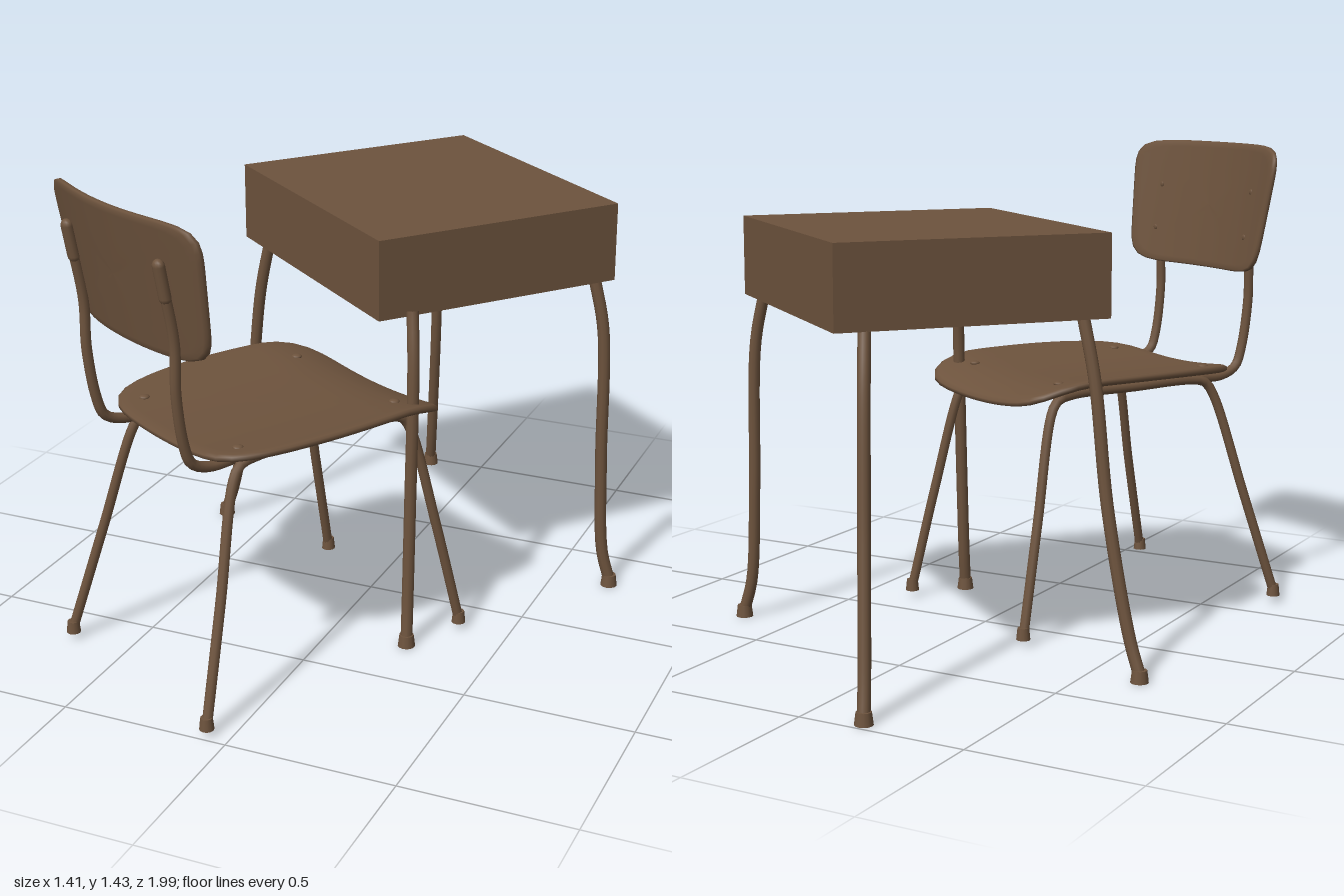
import * as THREE from 'three';

const brown = new THREE.MeshStandardMaterial({ color: 0x6d533d });
brown.name = 'brown';

function add(parent, name, geometry, pos = [0, 0, 0], scale = [1, 1, 1]) {
  const mesh = new THREE.Mesh(geometry, brown);
  mesh.name = name;
  mesh.position.set(...pos);
  mesh.scale.set(...scale);
  parent.add(mesh);
  return mesh;
}

function tube(parent, name, points, radius, segments = 32) {
  const curve = new THREE.CatmullRomCurve3(points.map(p => new THREE.Vector3(...p)));
  return add(parent, name, new THREE.TubeGeometry(curve, segments, radius, 10));
}

// Rubber cap on a leg end, standing on height y
function foot(parent, x, y, z, r) {
  add(parent, 'footCap', new THREE.CylinderGeometry(r * 0.82, r, 0.036, 12), [x, y + 0.018, z]);
}

// Thin moulded board: rounded outline in (u, v), bent by place(u, v, offset)
function board(place, thickness, n = 7, segments = 64) {
  const h = thickness / 2;
  const top = [0, 0.2, 0.4, 0.55, 0.7, 0.8, 0.9, 0.975].map(r => [r, h]);
  const rings = [...top, [1, h * 0.5], [1, -h * 0.5], ...top.map(([r]) => [r, -h]).reverse()];
  const positions = [], index = [];
  rings.forEach(([r, w], i) => {
    for (let j = 0; j < segments; j++) {
      const a = (j / segments) * Math.PI * 2, c = Math.cos(a), s = Math.sin(a);
      const k = r / Math.pow(Math.abs(c) ** n + Math.abs(s) ** n, 1 / n);
      positions.push(...place(c * k, s * k, w));
      if (i === rings.length - 1) continue;
      const j2 = (j + 1) % segments, p = i * segments, q = p + segments;
      index.push(p + j, q + j, q + j2, p + j, q + j2, p + j2);
    }
  });
  const g = new THREE.BufferGeometry();
  g.setAttribute('position', new THREE.Float32BufferAttribute(positions, 3));
  g.setIndex(index);
  g.computeVertexNormals();
  return g;
}

// Seat height: raised sides, front edge rolling down
function seatY(x, z) {
  const roll = Math.max(0, (-z - 0.2) / 0.21);
  return 0.732 + 0.036 * (x / 0.36) ** 2 - 0.045 * roll * roll;
}

// Backrest depth: leaning back and curved around the sitter
function backZ(x, y) {
  return 0.45 + 0.07 * (y - 1.04) / 0.395 - 0.062 * (x / 0.355) ** 2;
}

function createDesk() {
  const desk = new THREE.Group();
  desk.name = 'desk';
  const box = add(desk, 'deskBox', new THREE.BoxGeometry(0.9, 0.235, 0.79), [0.054, 1.1225, -0.29]);
  box.rotation.y = -0.684;

  // Splayed legs, each bent near the top and the bottom
  const legs = [
    [[-0.085, 1.02, -0.795], [-0.112, 0.86, -0.843], [-0.14, 0.45, -0.893], [-0.17, 0.12, -0.945], [-0.182, 0.02, -0.968]],
    [[0.595, 1.02, -0.29], [0.63, 0.85, -0.295], [0.64, 0.42, -0.3], [0.655, 0.12, -0.303], [0.68, 0.02, -0.31]],
    [[0.222, 1.02, 0.22], [0.238, 0.87, 0.25], [0.238, 0.42, 0.268], [0.24, 0.12, 0.287], [0.243, 0.02, 0.3]],
    [[-0.46, 1.02, -0.275], [-0.503, 0.83, -0.28], [-0.55, 0.48, -0.29], [-0.625, 0.12, -0.297], [-0.66, 0.02, -0.303]],
  ];
  for (const points of legs) {
    tube(desk, 'deskLeg', points, 0.018);
    const [x, , z] = points[points.length - 1];
    foot(desk, x, 0, z, 0.026);
  }
  return desk;
}

function createChair() {
  const chair = new THREE.Group();
  chair.name = 'chair';

  add(chair, 'seat', board((u, v, w) => {
    const x = u * 0.362 * (1 - (v > 0 ? 0.09 : 0.17) * v * v);
    const z = -0.022 - v * 0.388;
    return [x, seatY(x, z) + w, z];
  }, 0.022));

  add(chair, 'backrest', board((u, v, w) => {
    const x = u * (0.336 + 0.022 * v), y = 1.2375 + v * 0.1975;
    return [x, y, backZ(x, y) + w];
  }, 0.022));

  for (const s of [-1, 1]) {
    // Rear leg, side rail and front leg in one bent tube
    tube(chair, 'legFrame', [
      [s * 0.35, 0.04, 0.48], [s * 0.3, 0.36, 0.39], [s * 0.25, 0.665, 0.306], [s * 0.243, 0.71, 0.275],
      [s * 0.24, 0.721, 0.22], [s * 0.24, 0.72, 0], [s * 0.245, 0.718, -0.23],
      [s * 0.25, 0.705, -0.285], [s * 0.255, 0.665, -0.312], [s * 0.29, 0.36, -0.382], [s * 0.32, 0.04, -0.45],
    ], 0.015, 80);
    foot(chair, s * 0.35, 0.02, 0.482, 0.021);
    foot(chair, s * 0.32, 0.02, -0.452, 0.021);

    // Backrest post running down and forward under the seat
    const postZ = y => backZ(0.225, y) + 0.023;
    tube(chair, 'backPost', [
      [s * 0.225, 1.31, postZ(1.31)], [s * 0.225, 1.1, postZ(1.1)], [s * 0.223, 0.95, 0.458],
      [s * 0.22, 0.8, 0.437], [s * 0.219, 0.745, 0.415], [s * 0.217, 0.72, 0.36],
      [s * 0.215, 0.72, 0.25], [s * 0.215, 0.72, -0.1],
    ], 0.015, 64);
    const plate = add(chair, 'postPlate', new THREE.CapsuleGeometry(0.019, 0.09, 4, 12),
      [s * 0.225, 1.27, postZ(1.27)], [1, 1, 0.85]);
    plate.rotation.x = 0.175;

    // Seat and backrest rivets
    for (const z of [-0.27, 0.274]) {
      add(chair, 'seatRivet', new THREE.SphereGeometry(0.016, 12, 8),
        [s * 0.232, seatY(0.232, z) + 0.011, z], [1, 0.45, 1]);
    }
    for (const y of [1.15, 1.29]) {
      add(chair, 'backRivet', new THREE.SphereGeometry(0.009, 10, 6),
        [s * 0.225, y, backZ(0.225, y) - 0.011], [1, 1, 0.35]);
    }
  }

  chair.position.set(-0.15, 0, 0.385);
  chair.rotation.y = -0.489;
  return chair;
}

export function createModel() {
  const model = new THREE.Group();
  model.name = 'schoolDeskAndChair';
  model.add(createDesk(), createChair());
  return model;
}
